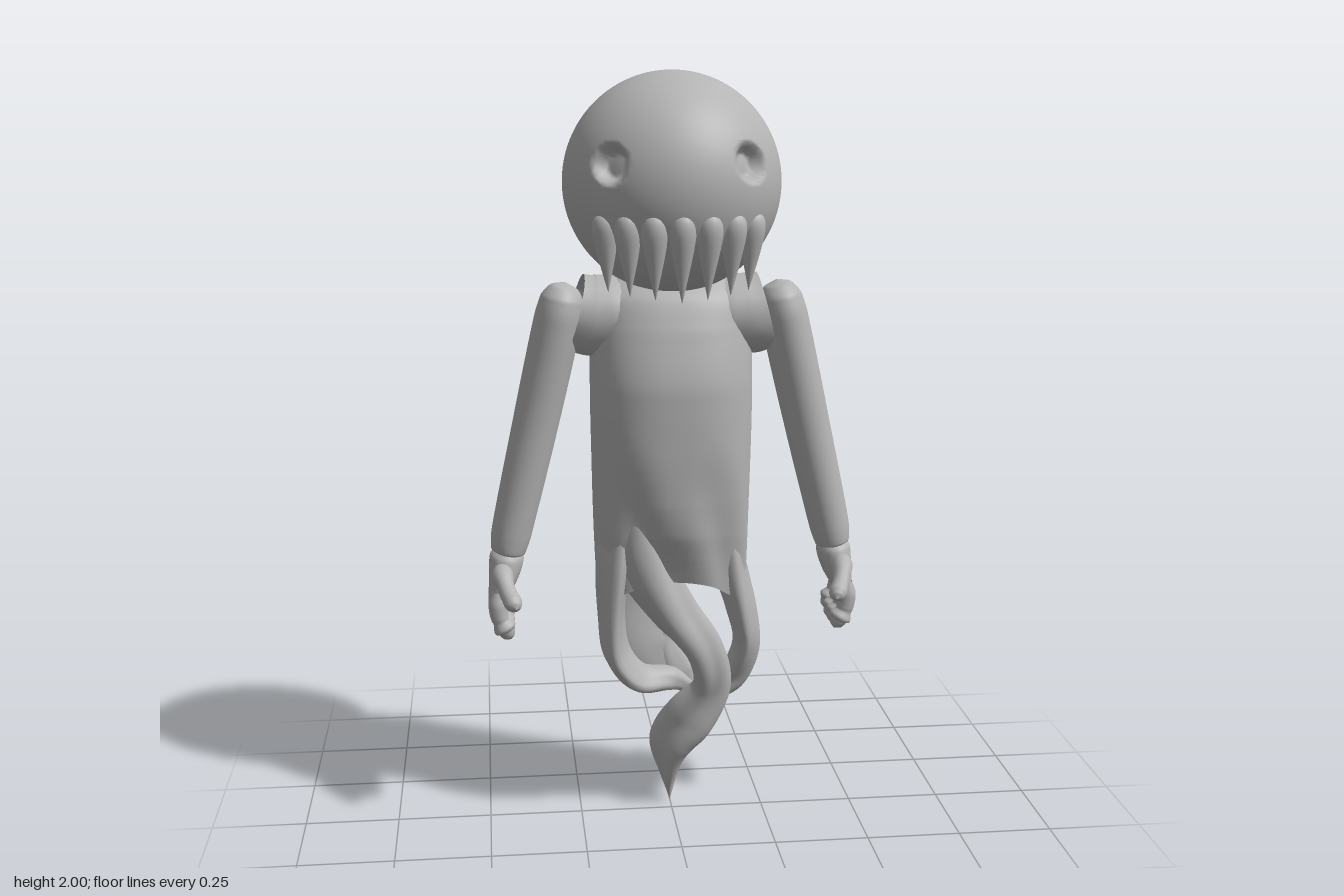
import * as THREE from 'three';

const grey = new THREE.MeshStandardMaterial({ color: 0xb4b4b4, side: THREE.DoubleSide });
grey.name = 'pale grey';

function add(parent, name, geometry) {
  const mesh = new THREE.Mesh(geometry, grey);
  mesh.name = name;
  parent.add(mesh);
  return mesh;
}

// Skin a list of closed loops (arrays of Vector3) into one smooth surface
function loft(loops) {
  const n = loops[0].length, pos = [], idx = [];
  loops.forEach((loop) => loop.forEach((p) => pos.push(p.x, p.y, p.z)));
  for (let i = 0; i < loops.length - 1; i++) {
    for (let j = 0; j < n; j++) {
      const k = (j + 1) % n, a = i * n, b = a + n;
      idx.push(a + j, b + j, a + k, a + k, b + j, b + k);
    }
  }
  const g = new THREE.BufferGeometry();
  g.setAttribute('position', new THREE.Float32BufferAttribute(pos, 3));
  g.setIndex(idx);
  g.computeVertexNormals();
  return g;
}

// Sweep an ellipse along points [x, y, z, sideRadius, depthRadius]; groove adds twisting folds
function sweep(points, { groove = 0, twist = 5, ref = new THREE.Vector3(0, 0, 1), sides = 24 } = {}) {
  const path = new THREE.CatmullRomCurve3(points.map((p) => new THREE.Vector3(p[0], p[1], p[2])));
  const size = new THREE.CatmullRomCurve3(points.map((p) => new THREE.Vector3(p[3], p[4] ?? p[3], 0)));
  const steps = (points.length - 1) * 8, loops = [];
  for (let i = 0; i <= steps; i++) {
    const t = i / steps, c = path.getPoint(t), r = size.getPoint(t), tan = path.getTangent(t);
    const n = tan.clone().cross(ref).normalize(), b = n.clone().cross(tan);
    const loop = [];
    for (let j = 0; j < sides; j++) {
      const a = (j / sides) * Math.PI * 2, f = 1 + groove * Math.cos(3 * a + twist * t);
      loop.push(c.clone()
        .addScaledVector(n, Math.max(r.x, 0.001) * f * Math.cos(a))
        .addScaledVector(b, Math.max(r.y, 0.001) * f * Math.sin(a)));
    }
    loops.push(loop);
  }
  return loft(loops);
}

// Round head with two sunken eye sockets
function headGeometry() {
  const g = new THREE.SphereGeometry(0.28, 160, 110), p = g.attributes.position;
  const v = new THREE.Vector3();
  const eyes = [-1, 1].map((s) => new THREE.Vector3(s * 0.175, 0.06, 0.21).normalize());
  for (let i = 0; i < p.count; i++) {
    v.fromBufferAttribute(p, i);
    for (const e of eyes) {
      const a = v.angleTo(e);
      v.setLength(v.length() - 0.036 * (1 - THREE.MathUtils.smoothstep(a, 0.12, 0.19)));
    }
    p.setXYZ(i, v.x, v.y, v.z);
  }
  g.computeVertexNormals();
  return g;
}

// Cloth torso: rows of [y, half width, front z, back z], with folds growing downward
function bodyGeometry() {
  const rows = [
    [1.495, 0.01, -0.05, -0.07], [1.485, 0.14, 0.02, -0.11], [1.43, 0.2, 0.09, -0.16],
    [1.35, 0.21, 0.125, -0.19], [1.2, 0.213, 0.16, -0.205], [1.05, 0.212, 0.162, -0.205],
    [0.9, 0.21, 0.153, -0.198], [0.8, 0.207, 0.14, -0.185], [0.72, 0.203, 0.12, -0.16],
    [0.64, 0.195, 0.1, -0.12],
  ];
  const curveA = new THREE.CatmullRomCurve3(rows.map((r) => new THREE.Vector3(r[0], r[1], 0)));
  const curveB = new THREE.CatmullRomCurve3(rows.map((r) => new THREE.Vector3(r[2], r[3], 0)));
  const loops = [], steps = 72, sides = 72;
  for (let i = 0; i <= steps; i++) {
    const A = curveA.getPoint(i / steps), B = curveB.getPoint(i / steps);
    const fold = THREE.MathUtils.smoothstep(1.15 - A.x, 0, 0.45);
    const mid = (B.x + B.y) / 2, depth = (B.x - B.y) / 2, loop = [];
    for (let j = 0; j < sides; j++) {
      const a = (j / sides) * Math.PI * 2, c = Math.cos(a), s = -Math.sin(a);
      const f = 1 - fold * 0.06 * (1 + Math.sin(6 * a + A.x * 9)) * Math.abs(s);
      loop.push(new THREE.Vector3(
        A.y * f * Math.sign(c) * Math.abs(c) ** 0.85,
        A.x + fold * 0.06 * (0.5 - c * c) * Math.max(0, (0.9 - A.x) * 5),
        mid + depth * f * Math.sign(s) * Math.abs(s) ** 0.85));
    }
    loops.push(loop);
  }
  return loft(loops);
}

// One arm with hand, on the +x side
function makeArm(name) {
  const arm = new THREE.Group();
  arm.name = name;
  add(arm, 'sleeve', sweep([
    [0.275, 1.468, 0, 0], [0.278, 1.455, 0, 0.036, 0.045], [0.284, 1.425, 0, 0.056, 0.073],
    [0.296, 1.37, 0, 0.062, 0.08], [0.36, 1.09, 0, 0.06, 0.066], [0.428, 0.8, 0, 0.053, 0.06],
    [0.437, 0.755, 0, 0.045, 0.055], [0.44, 0.74, 0, 0]], { sides: 32 }));
  add(arm, 'palm', sweep([
    [0.437, 0.77, -0.005, 0.02, 0.03], [0.44, 0.74, -0.005, 0.045, 0.06], [0.45, 0.69, -0.01, 0.04, 0.078],
    [0.463, 0.64, -0.005, 0.027, 0.085], [0.465, 0.615, -0.005, 0.012, 0.07], [0.465, 0.61, -0.005, 0]]));
  for (let i = 0; i < 4; i++) {
    const z = 0.062 - i * 0.045, drop = i === 3 ? 0.012 : 0;
    add(arm, 'finger', sweep([
      [0.466, 0.66, z, 0.015], [0.468, 0.62, z, 0.024], [0.462, 0.585 + drop, z, 0.023],
      [0.446, 0.553 + drop, z, 0.023], [0.438, 0.537 + drop, z, 0.016], [0.434, 0.529 + drop, z, 0]],
    { sides: 14 }));
  }
  add(arm, 'thumb', sweep([
    [0.45, 0.71, 0.02, 0.02], [0.453, 0.705, 0.06, 0.028], [0.442, 0.675, 0.105, 0.022],
    [0.428, 0.652, 0.135, 0.024], [0.422, 0.645, 0.152, 0.015], [0.42, 0.642, 0.16, 0]],
  { sides: 14, ref: new THREE.Vector3(1, 0, 0) }));
  return arm;
}

export function createModel() {
  const model = new THREE.Group();
  model.name = 'floatingGhost';

  add(model, 'head', headGeometry()).position.y = 1.72;

  // Hanging fangs around the front of the mouth
  const fang = new THREE.LatheGeometry(new THREE.SplineCurve([
    [0.0005, -0.205], [0.009, -0.165], [0.024, -0.09], [0.033, -0.03], [0.03, 0.005], [0.018, 0.024], [0.0005, 0.03],
  ].map((p) => new THREE.Vector2(...p))).getPoints(24), 18);
  for (let i = -3; i <= 3; i++) {
    const a = i * 0.275, m = add(model, 'fang', fang);
    m.position.set(0.25 * Math.sin(a), 1.635, 0.25 * Math.cos(a));
    m.rotation.order = 'YXZ';
    m.rotation.set(0.06, a, 0);
    m.scale.y = 0.95 - Math.abs(i) * 0.035;
  }

  add(model, 'body', bodyGeometry());

  // Arms and the open shoulder stubs of the robe
  for (const s of [1, -1]) {
    const side = new THREE.Group();
    side.name = s > 0 ? 'leftSide' : 'rightSide';
    side.add(makeArm(s > 0 ? 'leftArm' : 'rightArm'));
    add(side, 'shoulderStub', sweep([
      [0.08, 1.38, -0.03, 0.09, 0.1], [0.16, 1.378, -0.028, 0.103, 0.11],
      [0.21, 1.378, -0.022, 0.106, 0.105], [0.25, 1.388, -0.02, 0.1, 0.1]]));
    side.scale.x = s;
    model.add(side);
  }

  // Twisting cloth strands of the tail
  add(model, 'rightStrand', sweep([
    [-0.13, 0.9, 0.01, 0.03, 0.06], [-0.155, 0.72, 0.02, 0.045, 0.08], [-0.163, 0.56, 0.01, 0.035, 0.08],
    [-0.148, 0.45, 0, 0.037, 0.075], [-0.09, 0.382, -0.02, 0.034, 0.065], [0, 0.365, -0.05, 0.03, 0.05],
    [0.07, 0.33, -0.05, 0.01]], { groove: 0.13 }));
  add(model, 'leftStrand', sweep([
    [0.13, 0.9, -0.01, 0.03, 0.06], [0.155, 0.72, -0.01, 0.045, 0.08], [0.19, 0.57, -0.01, 0.04, 0.075],
    [0.205, 0.46, -0.03, 0.036, 0.065], [0.17, 0.365, -0.06, 0.038, 0.06], [0.1, 0.32, -0.06, 0.03, 0.045],
    [0.05, 0.3, -0.04, 0.01]], { groove: 0.13, twist: 7 }));
  add(model, 'backPanel', sweep([
    [-0.07, 0.88, -0.12, 0.07, 0.03], [-0.08, 0.72, -0.1, 0.1, 0.045], [-0.085, 0.57, -0.075, 0.09, 0.03],
    [-0.075, 0.45, -0.06, 0.08, 0.03], [-0.01, 0.37, -0.07, 0.05, 0.03], [0.05, 0.33, -0.06, 0.01]], { groove: 0.1 }));
  add(model, 'backStrand', sweep([
    [0.08, 0.9, -0.14, 0.05, 0.03], [0.04, 0.73, -0.125, 0.055, 0.04], [0.005, 0.58, -0.095, 0.03],
    [-0.01, 0.46, -0.08, 0.035], [0.03, 0.37, -0.08, 0.05, 0.04], [0.07, 0.32, -0.05, 0.01]], { groove: 0.12 }));
  add(model, 'tail', sweep([
    [-0.12, 0.9, 0.08, 0.03, 0.03], [-0.085, 0.74, 0.075, 0.07, 0.04], [-0.005, 0.59, 0.065, 0.06, 0.045],
    [0.08, 0.47, 0.04, 0.05, 0.05], [0.105, 0.36, 0, 0.05, 0.06], [0.055, 0.26, -0.03, 0.065, 0.075],
    [0.01, 0.18, -0.045, 0.06, 0.065], [-0.002, 0.08, -0.052, 0.025, 0.035], [0, 0, -0.055, 0]],
  { groove: 0.16, twist: 9, sides: 36 }));

  return model;
}
